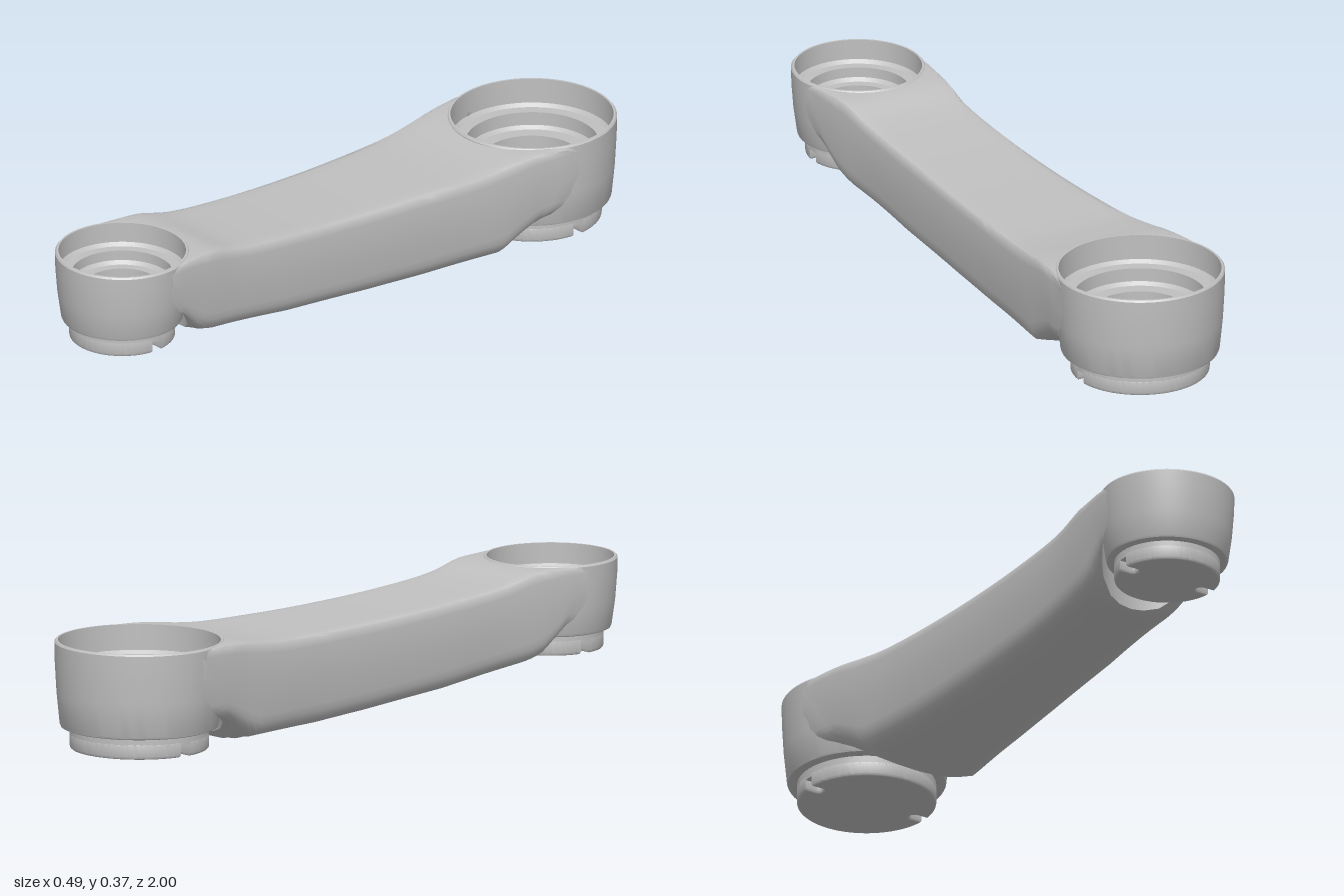
import * as THREE from 'three';
import { toCreasedNormals } from 'three/addons/utils/BufferGeometryUtils.js';

const metal = new THREE.MeshStandardMaterial({ color: 0xc0c0c0 });
metal.name = 'grey metal';

// The two end sockets: centre z, radii and heights
const front = { name: 'front', z: 0.806, top: 0.375, bottom: 0.165, rTop: 0.193, rLow: 0.176, bore: 0.183,
  ledges: [[0.145, 0.07], [0.108, 0.11], [0, 0.16]], capR: 0.152, capY: 0.107, wrap: 0.188 };
const rear = { name: 'rear', z: -0.757, top: 0.323, bottom: 0.07, rTop: 0.244, rLow: 0.229, bore: 0.234,
  ledges: [[0.19, 0.085], [0.138, 0.135], [0, 0.19]], capR: 0.2, capY: 0.008, wrap: 0.239 };

function addMesh(group, name, geometry, crease = 0.6) {
  const mesh = new THREE.Mesh(toCreasedNormals(geometry, crease), metal);
  mesh.name = name;
  group.add(mesh);
  return mesh;
}

// Tapered cup with a stepped bore
function socket(s) {
  const h = s.top - s.bottom;
  const p = [[0, s.bottom], [s.rLow - 0.01, s.bottom], [s.rLow - 0.003, s.bottom + 0.003], [s.rLow, s.bottom + 0.01],
    [s.rLow + (s.rTop - s.rLow) * 0.6, s.bottom + h * 0.4], [s.rTop - 0.001, s.bottom + h * 0.75],
    [s.rTop, s.top - 0.005], [s.rTop - 0.004, s.top], [s.bore, s.top]];
  let r = s.bore;
  for (const [next, depth] of s.ledges) {
    p.push([r, s.top - depth + 0.01], [r - 0.01, s.top - depth], [next, s.top - depth]);
    r = next;
  }
  return new THREE.LatheGeometry(p.map(([x, y]) => new THREE.Vector2(x, y)), 64);
}

// Lower plate of the cap: a disc with a rounded slot on each side
function slottedDisc(s, height) {
  const R = s.capR, half = 0.016, inner = R - 0.035, a = Math.asin(half / R), b = 0.008;
  const shape = new THREE.Shape();
  shape.absarc(0, 0, R, a, Math.PI - a, false);
  shape.absarc(-inner, 0, half, Math.PI / 2, -Math.PI / 2, true);
  shape.absarc(0, 0, R, Math.PI + a, Math.PI * 2 - a, false);
  shape.absarc(inner, 0, half, -Math.PI / 2, -Math.PI * 1.5, true);
  shape.closePath();
  const g = new THREE.ExtrudeGeometry(shape, { depth: height - b, bevelEnabled: true, bevelThickness: b,
    bevelSize: b, bevelOffset: -b, bevelSegments: 3, curveSegments: 32 });
  return g.rotateX(Math.PI / 2).translate(0, s.capY + height, 0);
}

// Profiles along z
const along = (Type, pairs) => {
  const f = new Type(pairs.map(p => p[0]), pairs.map(p => p[1]), 1);
  return z => f.evaluate(z)[0];
};
const topY = along(THREE.CubicInterpolant, [[-0.8, 0.32], [-0.56, 0.32], [-0.48, 0.311], [-0.38, 0.302], [-0.2, 0.302],
  [0, 0.306], [0.3, 0.323], [0.5, 0.345], [0.6, 0.369], [0.66, 0.372], [0.85, 0.372]]);
const bottomY = along(THREE.LinearInterpolant, [[-0.8, 0.08], [-0.6, 0.072], [-0.53, 0.035], [-0.48, 0.005], [-0.2, 0.01],
  [0, 0.022], [0.3, 0.046], [0.6, 0.086], [0.64, 0.1], [0.72, 0.165], [0.85, 0.17]]);
const halfWidth = along(THREE.CubicInterpolant, [[-0.8, 0.245], [-0.7, 0.24], [-0.5, 0.217], [-0.3, 0.197], [0, 0.179],
  [0.3, 0.17], [0.5, 0.17], [0.65, 0.18], [0.8, 0.192], [0.9, 0.193]]);

// Half cross-section, top centre to bottom centre: [width fraction, height fraction]
const SECTION = [[0, 1], [0.22, 1], [0.45, 1], [0.7, 1], [0.86, 1], [0.95, 0.99], [0.985, 0.96], [1, 0.87],
  [0.985, 0.5], [0.94, 0.18], [0.92, 0.1], [0.87, 0.03], [0.8, 0], [0.66, 0], [0.43, 0], [0.21, 0], [0, 0]];

// Lofted arm whose ends curve around the sockets
function arm() {
  const n = SECTION.length - 1, M = n * 2, steps = 56, pos = [], idx = [];
  const wrapZ = (s, x) => s.z - Math.sign(s.z) * Math.sqrt(Math.max(0, s.wrap ** 2 - x * x));
  const zAt = (t, x) => THREE.MathUtils.lerp(wrapZ(rear, x), wrapZ(front, x), t);
  for (let j = 0; j <= steps; j++) {
    const t = (1 - Math.cos(Math.PI * j / steps)) / 2;
    let w = 0.18;
    for (let i = 0; i < 12; i++) w = (w + halfWidth(zAt(t, w))) / 2;
    for (let k = 0; k < M; k++) {
      const [fx, fy] = SECTION[k <= n ? k : M - k];
      const x = (k <= n ? 1 : -1) * fx * w, z = zAt(t, x);
      const low = bottomY(z) + 0.045 * fx * fx;
      pos.push(x, THREE.MathUtils.lerp(low, topY(z), fy), z);
    }
  }
  for (let j = 0; j < steps; j++) {
    for (let k = 0; k < M; k++) {
      const a = j * M + k, b = j * M + (k + 1) % M;
      idx.push(a, a + M, b, b, a + M, b + M);
    }
  }
  // End walls, stitched from top edge to bottom edge
  const tri = (flip, a, b, c) => (flip ? idx.push(a, c, b) : idx.push(a, b, c));
  for (const base of [0, steps * M]) {
    for (const left of [false, true]) {
      const at = k => base + (left ? (M - k) % M : k);
      const flip = (base === 0) !== left;
      for (let k = 0; k < n / 2; k++) {
        tri(flip, at(k), at(n - k), at(k + 1));
        if (k + 1 < n - k - 1) tri(flip, at(k + 1), at(n - k), at(n - k - 1));
      }
    }
  }
  const g = new THREE.BufferGeometry();
  g.setAttribute('position', new THREE.Float32BufferAttribute(pos, 3));
  g.setIndex(idx);
  return g;
}

export function createModel() {
  const model = new THREE.Group();
  model.name = 'crankArm';
  addMesh(model, 'arm', arm(), 0.7);
  for (const s of [front, rear]) {
    const end = new THREE.Group();
    end.name = s.name + 'End';
    end.position.z = s.z;
    addMesh(end, s.name + 'Socket', socket(s));
    // Cap below the socket: plain collar over the slotted plate
    const slotTop = s.capY + 0.033, collarTop = s.bottom + 0.005;
    const collar = new THREE.CylinderGeometry(s.capR, s.capR, collarTop - slotTop, 64);
    addMesh(end, s.name + 'CapCollar', collar.translate(0, (collarTop + slotTop) / 2, 0));
    addMesh(end, s.name + 'CapPlate', slottedDisc(s, 0.042));
    model.add(end);
  }
  return model;
}
